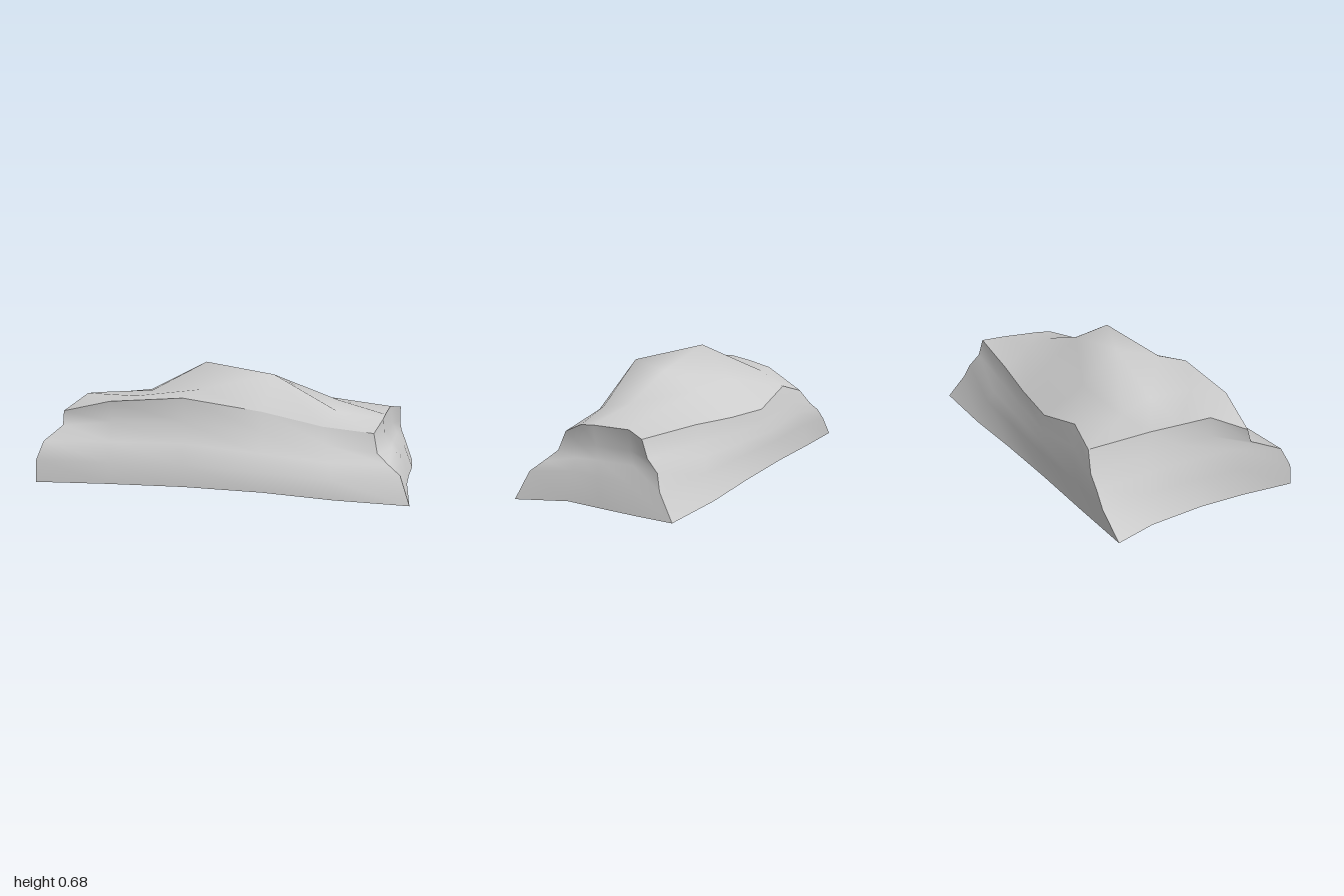
import * as THREE from 'three';

// Crease lines of the boulder, as [x, y, z] points
const frontBase = [[-1, .085, .51], [-.6, .09, .525], [-.2, .085, .52], [.2, .06, .485], [.57, .02, .44], [.96, 0, .43]];
const backBase = [[-.94, .05, -.52], [-.6, .05, -.52], [-.2, .055, -.52], [.2, .05, -.52], [.6, .04, -.525], [1, .045, -.52]];
const plusXBase = [[.96, 0, .43], [.955, .04, .1], [.97, .04, -.1], [.995, .045, -.31], [1, .045, -.52]];
const minusXBase = [[-1, .085, .51], [-.93, .065, .25], [-.9, .06, 0], [-.9, .055, -.3], [-.94, .05, -.52]];
const frontRim = [[-.91, .43, .27], [-.63, .5, .35], [-.23, .53, .38], [.18, .455, .31], [.5, .37, .24], [.77, .34, .24]];
const backRim = [[-.58, .38, -.47], [-.4, .435, -.44], [-.1, .36, -.45], [.2, .37, -.415], [.5, .39, -.37], [.92, .4, -.31]];
const plusXRim = [[.77, .34, .24], [.82, .4, .11], [.83, .41, .03], [.86, .42, -.2], [.92, .4, -.31]];
const minusXRim = [[-.91, .43, .27], [-.82, .505, .1], [-.78, .49, -.05], [-.73, .47, -.2], [-.58, .38, -.47]];
// Upright corners, from the base up
const cornerFrontMinusX = [[-1, .085, .51], [-1, .2, .495], [-.97, .295, .45], [-.91, .355, .295], [-.91, .43, .27]];
const cornerFrontPlusX = [[.96, 0, .43], [.91, .145, .37], [.85, .19, .325], [.79, .24, .275], [.77, .34, .24]];
const cornerBackPlusX = [[1, .045, -.52], [.96, .17, -.43], [.93, .25, -.4], [.92, .31, -.34], [.92, .4, -.31]];
const cornerBackMinusX = [[-.94, .05, -.52], [-.81, .17, -.53], [-.74, .24, -.52], [-.66, .29, -.505], [-.58, .38, -.47]];

// Points inside the top face: rows run front to back, columns along +x
const topInside = [
  [[-.52, .51, .2], [-.15, .56, .25], [.23, .635, .155], [.57, .44, .14]],
  [[-.48, .51, -.03], [-.17, .675, -.04], [.25, .595, -.04], [.57, .475, -.03]],
  [[-.53, .485, -.24], [-.15, .5, -.24], [.22, .5, -.23], [.55, .46, -.2]],
];
// Points inside the hollowed front face: rows run upwards, columns along +x
const frontInside = [
  [[-.6, .2, .51], [-.21, .2, .51], [.2, .16, .475], [.56, .12, .425]],
  [[-.61, .3, .445], [-.22, .3, .45], [.19, .25, .415], [.54, .2, .36]],
  [[-.62, .39, .36], [-.22, .4, .385], [.19, .35, .34], [.52, .28, .28]],
];

const flip = (line) => [...line].reverse();

// Smooth patch stretched between four crease lines (v = 0, v = 1, u = 0, u = 1)
function patch(name, low, high, start, end, inside) {
  const nu = low.length, nv = start.length, pos = [], idx = [];
  for (let j = 0; j < nv; j++) {
    for (let i = 0; i < nu; i++) {
      const u = i / (nu - 1), v = j / (nv - 1);
      const blend = [0, 1, 2].map((k) =>
        (1 - v) * low[i][k] + v * high[i][k] + (1 - u) * start[j][k] + u * end[j][k]
        - (1 - v) * ((1 - u) * low[0][k] + u * low[nu - 1][k])
        - v * ((1 - u) * high[0][k] + u * high[nu - 1][k]));
      const interior = i > 0 && i < nu - 1 && j > 0 && j < nv - 1;
      pos.push(...(inside && interior ? inside[j - 1][i - 1] : blend));
      if (i < nu - 1 && j < nv - 1) {
        const a = j * nu + i, b = a + 1, c = a + nu, d = c + 1;
        idx.push(a, b, c, b, d, c);
      }
    }
  }
  const geo = new THREE.BufferGeometry();
  geo.setAttribute('position', new THREE.Float32BufferAttribute(pos, 3));
  geo.setIndex(idx);
  geo.computeVertexNormals();
  const mesh = new THREE.Mesh(geo, new THREE.MeshStandardMaterial({ color: 0xcccccc }));
  mesh.name = name;
  return mesh;
}

export function createModel() {
  const rock = new THREE.Group();
  rock.name = 'boulder';
  rock.add(
    patch('frontFace', frontBase, frontRim, cornerFrontMinusX, cornerFrontPlusX, frontInside),
    patch('leftFace', plusXBase, plusXRim, cornerFrontPlusX, cornerBackPlusX),
    patch('backFace', flip(backBase), flip(backRim), cornerBackPlusX, cornerBackMinusX),
    patch('rightFace', flip(minusXBase), flip(minusXRim), cornerBackMinusX, cornerFrontMinusX),
    patch('topFace', frontRim, backRim, minusXRim, plusXRim, topInside),
    patch('underside', backBase, frontBase, flip(minusXBase), flip(plusXBase)),
  );
  return rock;
}
